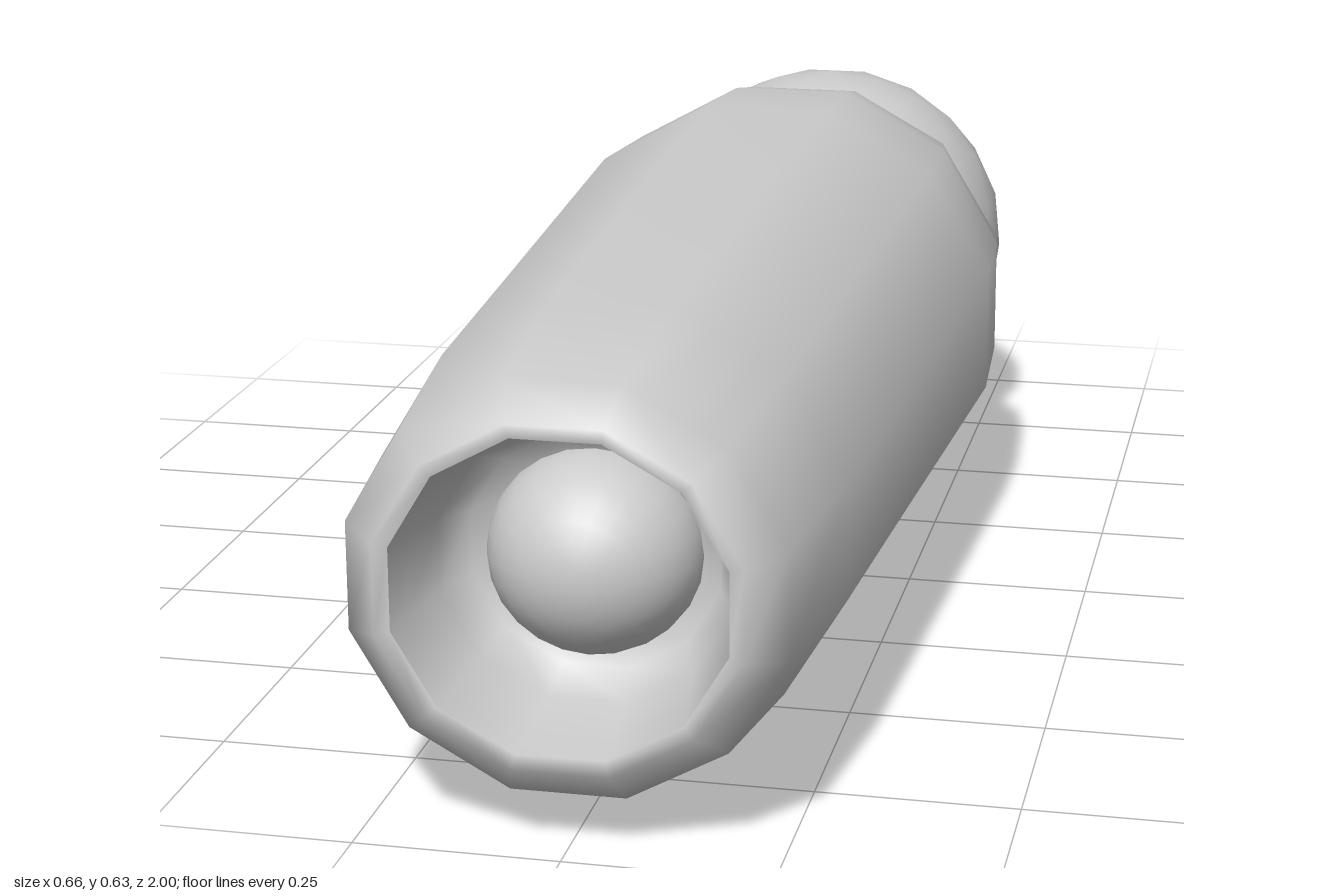
import * as THREE from 'three';

const SQUASH = 0.96;   // the whole figure is slightly flattened in y
const CENTRE = 0.315;  // height of the long axis
const SIDES = 12;

// Surface of revolution about z; profile pairs are [half width across flats, z], back to front.
function turned(profile) {
  const k = 1 / Math.cos(Math.PI / SIDES);
  const points = profile.map(([r, z]) => new THREE.Vector2(r * k, z));
  const geometry = new THREE.LatheGeometry(points, SIDES, Math.PI / SIDES);
  return geometry.rotateX(Math.PI / 2);
}

export function createModel() {
  const group = new THREE.Group();
  const material = new THREE.MeshStandardMaterial({ color: 0xcccccc, side: THREE.DoubleSide });

  function add(name, geometry, z = 0) {
    const mesh = new THREE.Mesh(geometry, material);
    mesh.name = name;
    mesh.scale.y = SQUASH;
    mesh.position.set(0, CENTRE, z);
    group.add(mesh);
  }

  // Tapered body, widest near the shoulders, with rounded ends
  add('body', turned([
    [0.245, -0.555], [0.268, -0.545], [0.296, -0.5], [0.315, -0.4], [0.328, -0.2],
    [0.3, 0.4], [0.285, 0.73], [0.258, 0.96], [0.215, 1], [0.197, 0.995],
  ]));

  // Recessed collar around the head
  add('collar', turned([[0.18, -0.48], [0.235, -0.51], [0.245, -0.555]]));

  // Hollow in the front end, with a groove around the plug
  add('frontHollow', turned([
    [0.197, 0.995], [0.19, 0.95], [0.175, 0.87], [0.15, 0.82], [0.1, 0.81],
  ]));

  // Domed plug inside the hollow
  const plug = new THREE.SphereGeometry(0.13, 24, 8, 0, Math.PI * 2, 0, Math.PI / 2);
  add('frontPlug', plug.rotateX(Math.PI / 2), 0.81);

  // Round head at the back end
  const head = new THREE.IcosahedronGeometry(0.28, 3);
  add('head', head, -0.72);

  return group;
}
